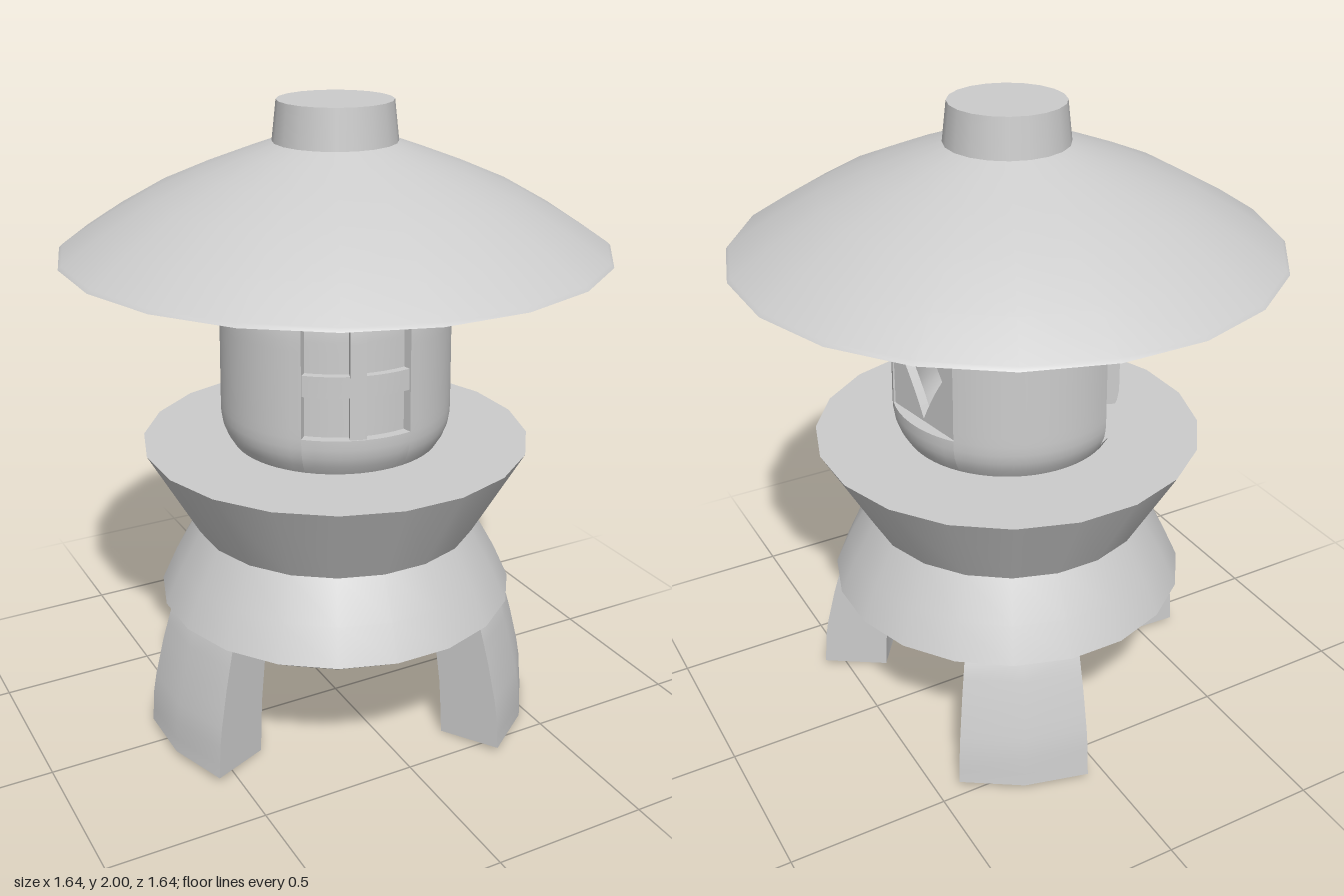
import * as THREE from 'three';
import { mergeGeometries } from 'three/addons/utils/BufferGeometryUtils.js';

const material = new THREE.MeshStandardMaterial({ color: 0xcccccc, side: THREE.DoubleSide });
const SIDES = 20;
const rad = THREE.MathUtils.degToRad;

function part(parent, name, geometry) {
  const mesh = new THREE.Mesh(geometry, material);
  mesh.name = name;
  parent.add(mesh);
  return mesh;
}

// Revolved solid; each profile piece is smooth, the joins between pieces stay sharp
function turned(...pieces) {
  return mergeGeometries(pieces.map((piece) => new THREE.LatheGeometry(
    piece.map(([r, y]) => new THREE.Vector2(r, y)), SIDES, Math.PI / SIDES)));
}

// Piecewise linear lookup of radius by height, from [radius, height] pairs
function radiusAt(profile, y) {
  for (let i = 1; i < profile.length; i++) {
    const [r0, y0] = profile[i - 1], [r1, y1] = profile[i];
    if (y <= y1) return r0 + (r1 - r0) * Math.max(0, (y - y0) / (y1 - y0));
  }
  return profile[profile.length - 1][0];
}

// Box bent round the y axis between two headings (degrees from +z towards +x)
function bentBox(a0, a1, y0, y1, inner, outer, rows, step = 6) {
  const g = new THREE.BoxGeometry(1, 1, 1, Math.ceil((a1 - a0) / step), rows, 1);
  const p = g.attributes.position;
  for (let i = 0; i < p.count; i++) {
    const a = rad(a0 + (p.getX(i) + 0.5) * (a1 - a0));
    const y = y0 + (p.getY(i) + 0.5) * (y1 - y0);
    const r = p.getZ(i) > 0 ? outer(y) : inner(y);
    p.setXYZ(i, r * Math.sin(a), y, r * Math.cos(a));
  }
  g.computeVertexNormals();
  return g;
}

// Three splayed, curved legs
function addLegs(group) {
  const outside = [[0.635, 0], [0.625, 0.15], [0.585, 0.32], [0.55, 0.44], [0.515, 0.5]];
  const inside = [[0.425, 0], [0.415, 0.17], [0.39, 0.345], [0.36, 0.5]];
  for (const heading of [45, -80.5, 156]) {
    const g = bentBox(heading - 18.5, heading + 18.5, 0, 0.5,
      (y) => radiusAt(inside, y), (y) => radiusAt(outside, y), 8, 18.5);
    // The sole rises slightly towards the outer edge
    const p = g.attributes.position;
    for (let i = 0; i < p.count; i++) {
      if (p.getY(i) < 0.001 && Math.hypot(p.getX(i), p.getZ(i)) > 0.5) p.setY(i, 0.02);
    }
    g.computeVertexNormals();
    part(group, 'leg', g);
  }
}

// Hollow lamp house with a paned window, a diamond window and an open doorway
function addLampHouse(group) {
  const house = new THREE.Group();
  house.name = 'lampHouse';
  group.add(house);

  const bottom = 0.955, top = 1.52, sill = 1.075, head = 1.42;
  const profile = [[0.325, bottom], [0.352, 1.0], [0.36, 1.05], [0.355, 1.39], [0.347, 1.45], [0.328, top]];
  const outer = (y) => radiusAt(profile, y);
  const set = (depth) => (y) => outer(y) - depth;
  const wall = (name, a0, a1, y0, y1, from = 0.05, to = 0) =>
    part(house, name, bentBox(a0, a1, y0, y1, set(from), set(to), Math.ceil((y1 - y0) / 0.03)));

  const paned = [-44, 10], diamond = [74, 125], door = [207, 249];
  wall('wall', paned[1], diamond[0], bottom, top);
  wall('wall', diamond[1], door[0], bottom, top);
  wall('wall', door[1], paned[0] + 360, bottom, top);
  for (const [span, low] of [[paned, sill], [diamond, sill], [door, 1.0]]) {
    wall('wallBelowOpening', ...span, bottom, low);
    wall('wallAboveOpening', ...span, head, top);
  }

  // Window bars in front of a recessed back
  wall('windowBack', ...paned, sill, head, 0.05, 0.03);
  wall('windowUpright', -21, -13, sill, head, 0.035, 0.005);
  wall('windowCrossbar', ...paned, 1.205, 1.27, 0.035, 0.006);

  // Flat recessed panel with a diamond cut-out
  const mid = (sill + head) / 2, h = (head - sill) / 2;
  const panel = new THREE.Shape([[-0.15, -h], [0.15, -h], [0.15, h], [-0.15, h]]
    .map(([x, y]) => new THREE.Vector2(x, y)));
  const hole = new THREE.Path();
  const tip = h - 0.008, w = 0.1;
  hole.moveTo(0, tip);
  for (const [x, y] of [[-w, 0], [0, -tip], [w, 0], [0, tip]]) {
    const from = hole.currentPoint;
    hole.quadraticCurveTo((from.x + x) * 0.45, (from.y + y) * 0.45, x, y);
  }
  panel.holes.push(hole);
  const g = new THREE.ExtrudeGeometry(panel, { depth: 0.03, bevelEnabled: false, curveSegments: 5 });
  g.translate(0, mid, 0.29);
  g.rotateY(rad(99.5));
  part(house, 'diamondPanel', g);
}

export function createModel() {
  const group = new THREE.Group();
  group.name = 'stoneLantern';

  addLegs(group);

  // Flared base the legs grow out of
  part(group, 'base', turned(
    [[0, 0.34], [0.43, 0.35]],
    [[0.43, 0.35], [0.57, 0.44]],
    [[0.57, 0.44], [0.52, 0.55], [0.45, 0.675]]));

  // Dish-shaped platform
  part(group, 'platform', turned(
    [[0.45, 0.675], [0.607, 0.955]],
    [[0.607, 0.955], [0, 0.955]]));

  addLampHouse(group);

  // Domed roof
  part(group, 'roof', turned(
    [[0, 1.51], [0.34, 1.512]],
    [[0.34, 1.512], [0.83, 1.562]],
    [[0.83, 1.562], [0.82, 1.572], [0.7, 1.65], [0.55, 1.735], [0.4, 1.8], [0.27, 1.85], [0.16, 1.89]]));

  // Stub on top
  part(group, 'finial', turned(
    [[0.188, 1.87], [0.173, 2]],
    [[0.173, 2], [0, 2]]));

  return group;
}
